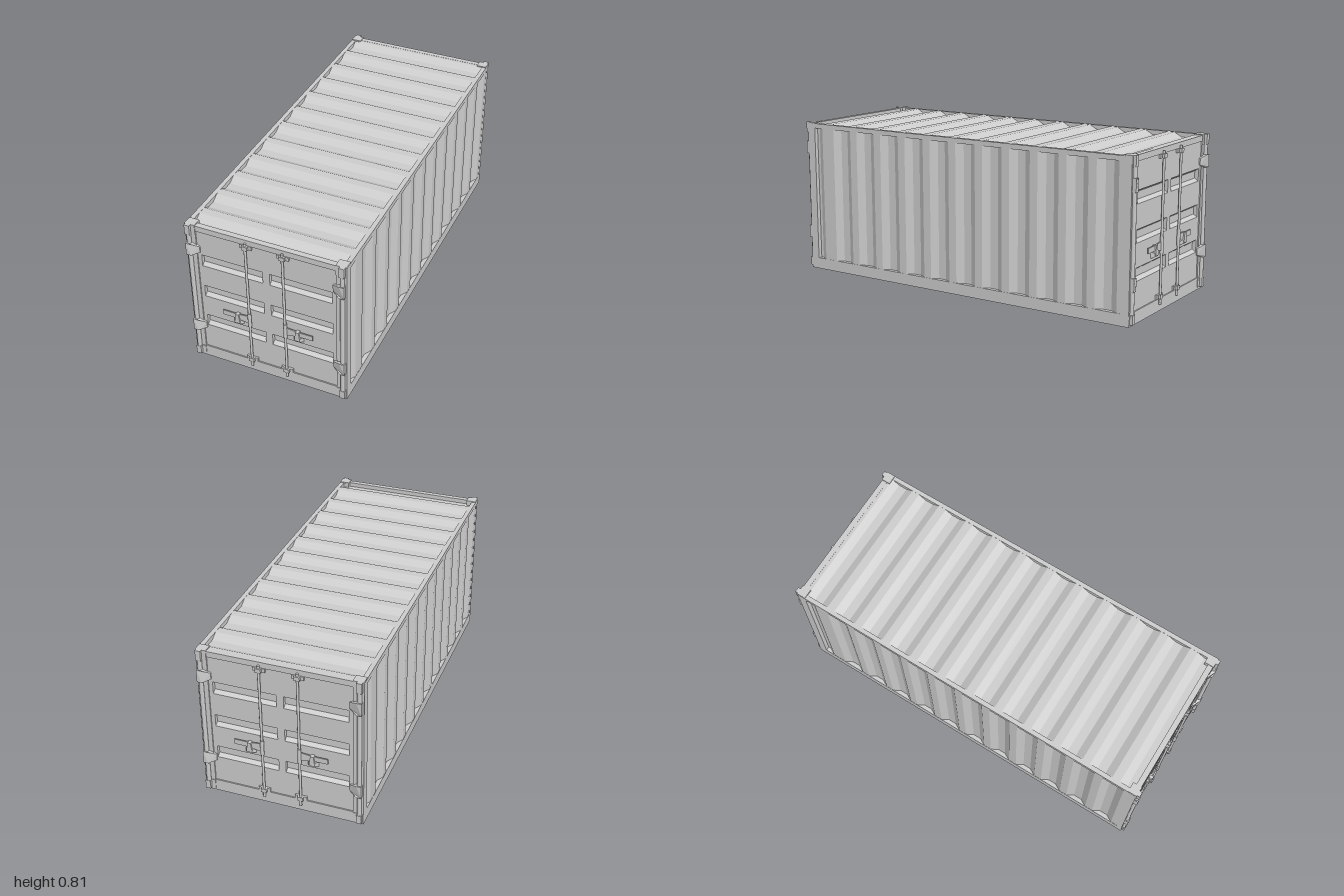
import * as THREE from 'three';

const mat = new THREE.MeshStandardMaterial({ color: 0xcccccc, flatShading: true });
const smooth = new THREE.MeshStandardMaterial({ color: 0xcccccc });
const X = new THREE.Vector3(1, 0, 0), Y = new THREE.Vector3(0, 1, 0), Z = new THREE.Vector3(0, 0, 1);

function add(group, name, geometry, material = mat) {
  const mesh = new THREE.Mesh(geometry, material);
  mesh.name = name;
  group.add(mesh);
  return mesh;
}

// Box given by its limits on each axis
function box(group, name, x0, x1, y0, y1, z0, z1) {
  add(group, name, new THREE.BoxGeometry(x1 - x0, y1 - y0, z1 - z0))
    .position.set((x0 + x1) / 2, (y0 + y1) / 2, (z0 + z1) / 2);
}

function rod(group, name, r, x, y0, y1, z) {
  add(group, name, new THREE.CylinderGeometry(r, r, y1 - y0, 12), smooth).position.set(x, (y0 + y1) / 2, z);
}

// Flat outline in x and y, pushed out along z
function slab(points, z0, z1) {
  const shape = new THREE.Shape(points.map(p => new THREE.Vector2(...p)));
  return new THREE.ExtrudeGeometry(shape, { depth: z1 - z0, bevelEnabled: false }).translate(0, 0, z0);
}

// Folded sheet: profile runs along U, faces V, and is extruded along U x V
function sheet(profile, back, w0, w1, U, V) {
  const pts = [...profile, [profile.at(-1)[0], back], [profile[0][0], back]];
  const W = new THREE.Vector3().crossVectors(U, V);
  return slab(pts, w0, w1).applyMatrix4(new THREE.Matrix4().makeBasis(U, V, W));
}

// Adds trapezoid grooves to a profile
function grooves(starts, slope, flat, high, low) {
  return starts.flatMap(s => [[s, high], [s + slope, low], [s + slope + flat, low], [s + 2 * slope + flat, high]]);
}

function makeFrame() {
  const g = new THREE.Group();
  g.name = 'frame';
  for (const s of [-1, 1]) {
    const bx = (name, a, b, ...rest) => box(g, name, Math.min(s * a, s * b), Math.max(s * a, s * b), ...rest);
    bx('bottomRail', 0.37, 0.408, 0, 0.06, -0.98, 0.98);
    bx('topRail', 0.385, 0.408, 0.78, 0.805, -0.98, 0.98);
    for (const e of [-1, 1]) {
      const inner = e * s > 0 ? 0.933 : 0.95;
      bx('cornerPost', 0.355, 0.408, 0, 0.805, Math.min(e * inner, e * 0.98), Math.max(e * inner, e * 0.98));
    }
  }
  for (const e of [-1, 1]) {
    const z0 = Math.min(e * 0.952, e * 0.98), z1 = Math.max(e * 0.952, e * 0.98);
    box(g, 'header', -0.4, 0.4, 0.775, 0.805, z0, z1);
    box(g, 'sill', -0.4, 0.4, 0, 0.063, z0, z1);
  }
  box(g, 'floor', -0.375, 0.375, 0.008, 0.05, -0.955, 0.955);
  return g;
}

function makeSide() {
  // First groove is cut off by the corner post
  const starts = Array.from({ length: 11 }, (_, k) => -0.88 + k * 0.16 - 0.035);
  const profile = [[-0.95, 0.407], ...grooves(starts, 0.037, 0.043, 0.407, 0.386), [0.88, 0.407], [0.917, 0.386], [0.933, 0.386]];
  return sheet(profile, 0.37, 0.06, 0.78, Z, X);
}

function makeRoof() {
  const starts = Array.from({ length: 11 }, (_, k) => -0.935 + k * 0.165);
  const profile = [[-0.952, 0.804], ...grooves(starts, 0.039, 0.045, 0.804, 0.782), [0.88, 0.804], [0.919, 0.782], [0.952, 0.782]];
  return sheet(profile, 0.765, -0.385, 0.385, Z, Y);
}

// Right-hand half of an end; s mirrors it to the other half
function makeDoor(s) {
  const g = new THREE.Group();
  g.name = s > 0 ? 'leftDoor' : 'rightDoor';
  const bx = (name, a, b, ...rest) => box(g, name, Math.min(s * a, s * b), Math.max(s * a, s * b), ...rest);
  const mirrored = pts => pts.map(([x, y]) => [s * x, y]);
  const face = 0.974;

  // Panel with three pressed grooves, and flat strips beside it
  const profile = [[0.063, face], ...grooves([0.203, 0.387, 0.573], 0.014, 0.037, face, face - 0.02), [0.775, face]];
  const ends = [s * 0.018, s * 0.335].sort((a, b) => a - b);
  add(g, 'doorPanel', sheet(profile, 0.94, ...ends, Y, Z));
  bx('doorInnerStrip', 0, 0.018, 0.063, 0.775, 0.94, face);
  bx('doorOuterStrip', 0.335, 0.356, 0.063, 0.775, 0.94, face);

  // Hinge pin with corner castings
  rod(g, 'hingePin', 0.011, s * 0.388, 0.02, 0.8, 0.985);
  bx('topCornerCap', 0.355, 0.407, 0.755, 0.81, 0.935, 0.983);
  bx('topPinBlock', 0.376, 0.402, 0.757, 0.81, 0.975, 0.997);
  bx('bottomCornerPlate', 0.355, 0.407, 0.012, 0.06, 0.97, 0.983);
  bx('bottomPinBlock', 0.376, 0.402, 0.012, 0.058, 0.975, 0.997);

  // Hinge straps, thinner towards the door
  for (const y of [0.203, 0.672]) {
    const strap = slab(mirrored([[0.402, y - 0.033], [0.402, y + 0.033], [0.377, y + 0.033],
      [0.339, y + 0.017], [0.339, y - 0.017], [0.377, y - 0.033]]), 0.965, 1);
    const p = strap.attributes.position;
    for (let i = 0; i < p.count; i++) {
      if (p.getZ(i) > 0.99 && Math.abs(p.getX(i)) < 0.35) p.setZ(i, 0.98);
    }
    add(g, 'hingeStrap', strap);
  }

  // Locking bar with its keepers
  rod(g, 'lockingBar', 0.0065, s * 0.094, 0.035, 0.79, 0.987);
  rod(g, 'lockingBarSleeve', 0.009, s * 0.094, 0.29, 0.372, 0.987);
  for (const y of [0.065, 0.755]) {
    bx('keeperPlate', 0.064, 0.124, y, y + 0.021, 0.965, 0.984);
    bx('keeper', 0.08, 0.108, y, y + 0.021, 0.975, 0.996);
  }

  // Handle and catch
  add(g, 'handle', slab(mirrored([[0.1, 0.305], [0.165, 0.317], [0.235, 0.317], [0.235, 0.344],
    [0.165, 0.344], [0.1, 0.35]]), 0.982, 0.988));
  const base = new THREE.CylinderGeometry(0.36, Math.SQRT1_2, 1, 4).rotateY(Math.PI / 4).rotateX(Math.PI / 2);
  const catchBase = add(g, 'handleCatch', base);
  catchBase.scale.set(0.057, 0.034, 0.02);
  catchBase.position.set(s * 0.158, 0.298, 0.982);
  add(g, 'handleLatch', slab(mirrored([[0.143, 0.294], [0.173, 0.294], [0.166, 0.345], [0.15, 0.345]]), 0.972, 0.995));
  return g;
}

export function createModel() {
  const model = new THREE.Group();
  model.name = 'shippingContainer';
  model.add(makeFrame());
  add(model, 'roof', makeRoof());
  const side = makeSide();
  // Both long sides and both ends repeat by a half turn
  for (const turn of [0, Math.PI]) {
    add(model, turn ? 'rightWall' : 'leftWall', side).rotation.y = turn;
    const end = new THREE.Group();
    end.name = turn ? 'backDoors' : 'frontDoors';
    end.add(makeDoor(1), makeDoor(-1));
    end.rotation.y = turn;
    model.add(end);
  }
  return model;
}
